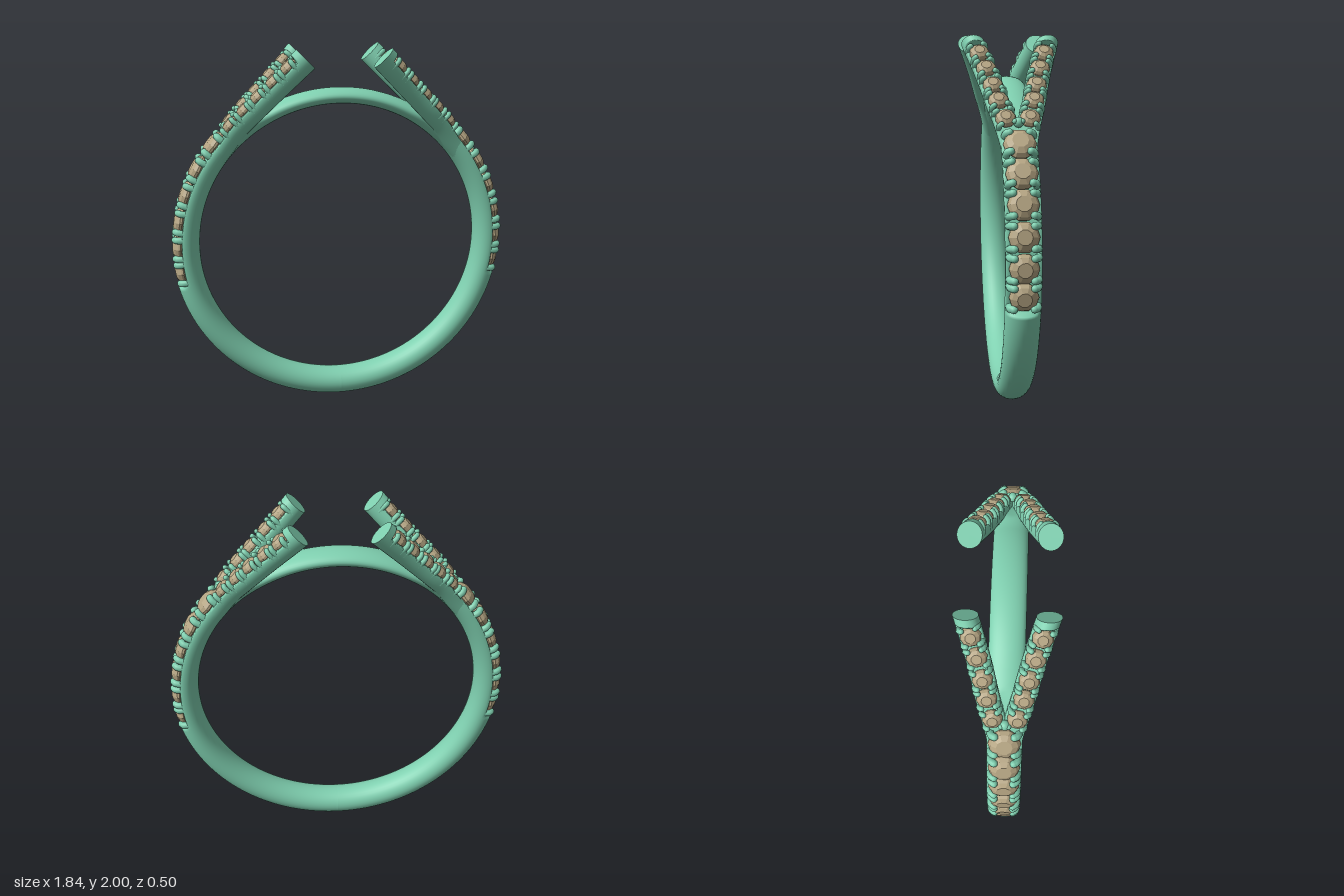
import * as THREE from 'three';

const metal = new THREE.MeshStandardMaterial({ color: 0x7fd0b0, side: THREE.DoubleSide });
const stone = new THREE.MeshStandardMaterial({ color: 0xb5a583, flatShading: true });
const CY = 0.925;      // height of the ring centre
const INNER = 0.77;    // finger hole radius
const SIDES = 32;

function named(name, geometry, material) {
  const mesh = new THREE.Mesh(geometry, material);
  mesh.name = name;
  return mesh;
}

// Skin elliptical sections {p, n, hn, hz, floor}; the outer side is cut flat at floor
function loft(stations, capEnd) {
  const pos = [], index = [];
  const addLoop = ({ p, n, hn, hz, floor }) => {
    for (let j = 0; j < SIDES; j++) {
      const a = (j / SIDES) * Math.PI * 2;
      const h = Math.min(hn * Math.sin(a), floor);
      pos.push(p.x + n.x * h, p.y + n.y * h, p.z + hz * Math.cos(a));
    }
  };
  stations.forEach(addLoop);
  for (let i = 0; i < stations.length - 1; i++) {
    for (let j = 0; j < SIDES; j++) {
      const k = (j + 1) % SIDES;
      const a = i * SIDES + j, b = i * SIDES + k;
      index.push(a, b, b + SIDES, a, b + SIDES, a + SIDES);
    }
  }
  if (capEnd) {
    const last = stations[stations.length - 1];
    const base = pos.length / 3;
    addLoop(last);
    pos.push(last.p.x, last.p.y, last.p.z);
    for (let j = 0; j < SIDES; j++) index.push(base + SIDES, base + j, base + (j + 1) % SIDES);
  }
  const g = new THREE.BufferGeometry();
  g.setAttribute('position', new THREE.Float32BufferAttribute(pos, 3));
  g.setIndex(index);
  g.computeVertexNormals();
  return g;
}

// Full ring: thick below, thin between the forks, cut down under the stones
function bandGeometry() {
  const stations = [];
  for (let i = 0; i <= 360; i++) {
    const a = THREE.MathUtils.degToRad(i - 90);
    const n = new THREE.Vector3(Math.cos(a), Math.sin(a), 0);
    const lift = THREE.MathUtils.radToDeg(Math.asin(THREE.MathUtils.clamp(n.y, -1, 1)));
    const outer = 0.924 - 0.069 * THREE.MathUtils.smoothstep(lift, 42, 64);
    const mid = (INNER + outer) / 2;
    const p = n.clone().multiplyScalar(mid);
    p.y += CY;
    const floor = lift > -13.6 && lift < 60 ? 0.866 - mid : 1;
    stations.push({ p, n, hn: (outer - INNER) / 2, hz: 0.088, floor });
  }
  return loft(stations, false);
}

// Centre line of one fork arm, from inside the band to the tip
function armStations(side) {
  const curve = new THREE.CatmullRomCurve3([
    [0.72, 1.37, 0.012], [0.64, 1.475, 0.03], [0.56, 1.585, 0.06], [0.495, 1.655, 0.085],
    [0.42, 1.73, 0.108], [0.345, 1.805, 0.133], [0.27, 1.88, 0.162], [0.2, 1.95, 0.19],
  ].map(([x, y, z]) => new THREE.Vector3(x, y, z * side)));
  const stations = [];
  for (let i = 0; i <= 120; i++) {
    const p = curve.getPoint(i / 120);
    const t = curve.getTangent(i / 120);
    const n = new THREE.Vector3(t.y, -t.x, 0).normalize();
    stations.push({ p, n, t, hn: 0.067, hz: 0.06, floor: p.x > 0.232 ? 0.02 : 1 });
  }
  return stations;
}

// Faceted round stone with a flat table, girdle at y = 0
function gemGeometry(r, crown) {
  const profile = [[0, -r * 0.7], [r, -0.008], [r, 0.004], [r * 0.84, crown * 0.6], [r * 0.5, crown], [0, crown]];
  const g = new THREE.LatheGeometry(profile.map(([x, y]) => new THREE.Vector2(x, y)), 10).toNonIndexed();
  g.computeVertexNormals();
  return g;
}

// Finger that climbs the side wall and bends over the stone
function prong(r, sz, sn, side) {
  const path = [[-0.012, 0.066], [0.022, 0.068], [0.044, 0.063], [0.054, 0.048]]
    .map(([h, z]) => new THREE.Vector3(0, h * sn, z * sz * side));
  const g = new THREE.Group();
  g.name = 'prong';
  g.add(named('prongStem', new THREE.TubeGeometry(new THREE.CatmullRomCurve3(path), 8, r, 8), metal));
  const tip = named('prongTip', new THREE.SphereGeometry(r, 10, 8), metal);
  tip.position.copy(path[3]);
  g.add(tip);
  return g;
}

// One stone with four prongs, placed at p with outward direction n and path direction t
function setting(p, n, t, { gemR, girdle, crown, prongR, offset, sz, sn }) {
  const g = new THREE.Group();
  g.name = 'stoneSetting';
  const gem = named('stone', gemGeometry(gemR, crown), stone);
  gem.position.y = girdle;
  g.add(gem);
  for (const along of [-1, 1]) {
    for (const side of [-1, 1]) {
      const f = prong(prongR, sz, sn, side);
      f.position.x = along * offset;
      g.add(f);
    }
  }
  const x = t.clone().negate();
  g.matrix.makeBasis(x, n, new THREE.Vector3().crossVectors(x, n)).setPosition(p);
  g.matrix.decompose(g.position, g.quaternion, g.scale);
  return g;
}

// Stones and forked arms of one shoulder
function shoulder(name) {
  const g = new THREE.Group();
  g.name = name;
  [-8.7, 0.4, 10, 19.8, 29.6, 39.8].forEach((deg, i) => {
    const a = THREE.MathUtils.degToRad(deg);
    const n = new THREE.Vector3(Math.cos(a), Math.sin(a), 0);
    const p = n.clone().multiplyScalar(0.847);
    p.y += CY;
    g.add(setting(p, n, new THREE.Vector3(-n.y, n.x, 0), {
      gemR: 0.071 + i * 0.0018, girdle: 0.034, crown: 0.036, prongR: 0.019, offset: 0.053, sz: 1, sn: 1,
    }));
  });
  for (const side of [-1, 1]) {
    const stations = armStations(side);
    g.add(named('forkArm', loft(stations, true), metal));
    for (const x of [0.265, 0.34, 0.416, 0.49, 0.563]) {
      const s = stations.reduce((a, b) => (Math.abs(b.p.x - x) < Math.abs(a.p.x - x) ? b : a));
      g.add(setting(s.p, s.n, s.t, {
        gemR: 0.05, girdle: 0.032, crown: 0.028, prongR: 0.0135, offset: 0.04, sz: 0.68, sn: 0.92,
      }));
    }
  }
  // bead in the crotch of the fork
  const bead = named('forkBead', new THREE.SphereGeometry(0.026, 14, 10), metal);
  bead.position.set(0.61, 1.585, 0);
  g.add(bead);
  return g;
}

export function createModel() {
  const model = new THREE.Group();
  model.name = 'ring';
  model.add(named('band', bandGeometry(), metal));
  const left = shoulder('leftShoulder');
  const right = shoulder('rightShoulder');
  right.rotation.y = Math.PI;
  model.add(left, right);
  return model;
}
